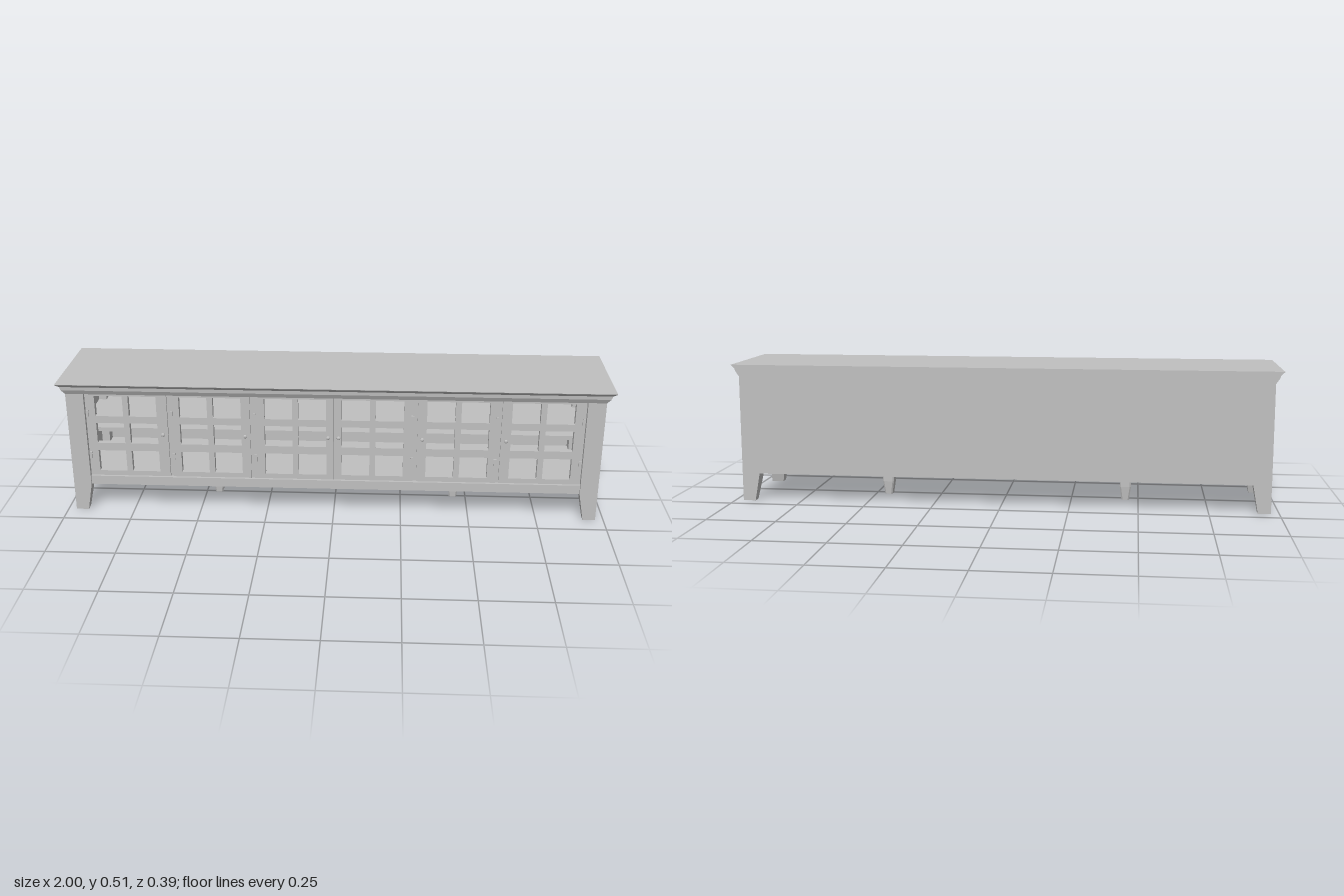
import * as THREE from 'three';

const grey = new THREE.MeshStandardMaterial({ color: 0xc0c0c0 });
grey.name = 'grey paint';

const BOTTOM = 0.103, FLOOR = 0.137, TOP = 0.467, BACK = -0.197, FRONT = 0.175, SIDE = 0.97;

// Rectangle ring, ordered counter-clockwise seen from above
const rect = (x0, x1, z0, z1) => [[x0, z1], [x1, z1], [x1, z0], [x0, z0]];

// Rectangle ring with cut corners
const chamfered = (cx, cz, w, d, c) => {
  const a = w / 2, b = d / 2;
  return [[-a + c, b], [a - c, b], [a, b - c], [a, -b + c], [a - c, -b], [-a + c, -b], [-a, -b + c], [-a, b - c]]
    .map(([x, z]) => [cx + x, cz + z]);
};

// Flat-shaded solid through horizontal rings, listed from bottom to top
function loft(levels) {
  const n = levels[0].ring.length, pos = [], index = [];
  levels.forEach(({ y, ring }) => ring.forEach(([x, z]) => pos.push(x, y, z)));
  for (let l = 0; l < levels.length - 1; l++) {
    for (let i = 0; i < n; i++) {
      const a = l * n + i, b = l * n + (i + 1) % n;
      index.push(a, b, b + n, a, b + n, a + n);
    }
  }
  const t = (levels.length - 1) * n;
  for (let i = 1; i < n - 1; i++) index.push(0, i + 1, i, t, t + i, t + i + 1);
  const g = new THREE.BufferGeometry();
  g.setAttribute('position', new THREE.Float32BufferAttribute(pos, 3));
  g.setIndex(index);
  const flat = g.toNonIndexed();
  flat.computeVertexNormals();
  return flat;
}

export function createModel() {
  const model = new THREE.Group();
  model.name = 'sideboard';

  const add = (name, geometry, parent = model) => {
    const mesh = new THREE.Mesh(geometry, grey);
    mesh.name = name;
    parent.add(mesh);
    return mesh;
  };
  const box = (name, x0, x1, y0, y1, z0, z1, parent) => {
    const mesh = add(name, new THREE.BoxGeometry(x1 - x0, y1 - y0, z1 - z0), parent);
    mesh.position.set((x0 + x1) / 2, (y0 + y1) / 2, (z0 + z1) / 2);
    return mesh;
  };

  // Moulded top, flush at the back: height, side overhang, front overhang
  const crown = [[TOP, 0, 0], [0.484, 0.012, 0.009], [0.497, 0.017, 0.010], [0.508, 0.029, 0.022], [0.51, 0.03, 0.023]];
  add('mouldedTop', loft(crown.map(([y, ox, oz]) =>
    ({ y, ring: rect(-SIDE - ox, SIDE + ox, BACK, FRONT + oz) }))));

  // Corner posts with feet tapered on their inner faces
  for (const s of [-1, 1]) {
    for (const front of [true, false]) {
      const ring = (w, d) => {
        const xs = [s * SIDE, s * (SIDE - w)].sort((a, b) => a - b);
        return front ? rect(...xs, FRONT - d, FRONT) : rect(...xs, BACK, BACK + d);
      };
      add(front ? 'frontCornerPost' : 'backCornerPost', loft([
        { y: 0, ring: ring(0.046, 0.032) },
        { y: BOTTOM, ring: ring(0.065, 0.055) },
        { y: TOP, ring: ring(0.065, 0.055) },
      ]));
    }

    // Recessed side panel and the rail below it
    const panel = [s * 0.935, s * 0.955].sort((a, b) => a - b);
    box('sidePanel', ...panel, FLOOR, TOP, -0.142, 0.12);
    const rail = [s * 0.93, s * 0.963].sort((a, b) => a - b);
    box('sideRail', ...rail, BOTTOM, FLOOR, -0.142, 0.12);

    // Middle foot
    const foot = (w, d) => chamfered(s * 0.452, -0.0125, w, d, 0.005);
    add('middleFoot', loft([
      { y: 0, ring: foot(0.028, 0.040) },
      { y: 0.05, ring: foot(0.042, 0.049) },
      { y: BOTTOM, ring: foot(0.042, 0.049) },
    ]));
  }

  // Carcass
  box('floor', -0.93, 0.93, BOTTOM, FLOOR, -0.185, 0.15);
  box('frontRail', -0.905, 0.905, BOTTOM, FLOOR, 0.14, 0.168);
  box('backPanel', -0.905, 0.905, BOTTOM, TOP, BACK, -0.185);
  box('shelf', -0.935, 0.935, 0.302, 0.318, -0.185, 0.13);
  for (const x of [-0.6, -0.298, 0.298, 0.6]) {
    box('frontStile', x - 0.009, x + 0.009, FLOOR, TOP, 0.138, 0.155);
  }

  // Doors: left edge, right edge, pane centre, side that carries the hinges
  const doors = [
    [-0.904, -0.606, -0.757, -1], [-0.595, -0.304, -0.449, -1], [-0.292, -0.001, -0.139, -1],
    [0.001, 0.292, 0.142, 1], [0.304, 0.595, 0.450, 1], [0.606, 0.904, 0.754, 1],
  ];
  const rows = [[0.158, 0.240], [0.270, 0.350], [0.377, 0.456]];
  const outline = (path, x0, x1, y0, y1) =>
    path.moveTo(x0, y0).lineTo(x1, y0).lineTo(x1, y1).lineTo(x0, y1).closePath();

  for (const [x0, x1, cx, hingeSide] of doors) {
    const door = new THREE.Group();
    door.name = 'door';
    model.add(door);

    // Frame with six open panes
    const shape = new THREE.Shape();
    outline(shape, x0, x1, FLOOR + 0.002, TOP);
    for (const [y0, y1] of rows) {
      for (const px of [cx - 0.0615, cx + 0.0615]) {
        const hole = new THREE.Path();
        outline(hole, px - 0.051, px + 0.051, y0, y1);
        shape.holes.push(hole);
      }
    }
    const frame = add('doorFrame', new THREE.ExtrudeGeometry(shape, { depth: 0.021, bevelEnabled: false }), door);
    frame.position.z = 0.142;

    // Hinges and knob
    const hx = hingeSide < 0 ? x0 + 0.006 : x1 - 0.006;
    for (const y of [0.222, 0.388]) {
      box('hinge', hx - 0.005, hx + 0.005, y - 0.013, y + 0.013, 0.16, 0.168, door);
    }
    const kx = hingeSide < 0 ? x1 - 0.018 : x0 + 0.018;
    const stem = add('knobStem', new THREE.CylinderGeometry(0.003, 0.003, 0.01, 12), door);
    stem.rotation.x = Math.PI / 2;
    stem.position.set(kx, 0.31, 0.166);
    const knob = add('knob', new THREE.SphereGeometry(0.007, 16, 10), door);
    knob.scale.z = 0.6;
    knob.position.set(kx, 0.31, 0.171);
  }

  return model;
}
